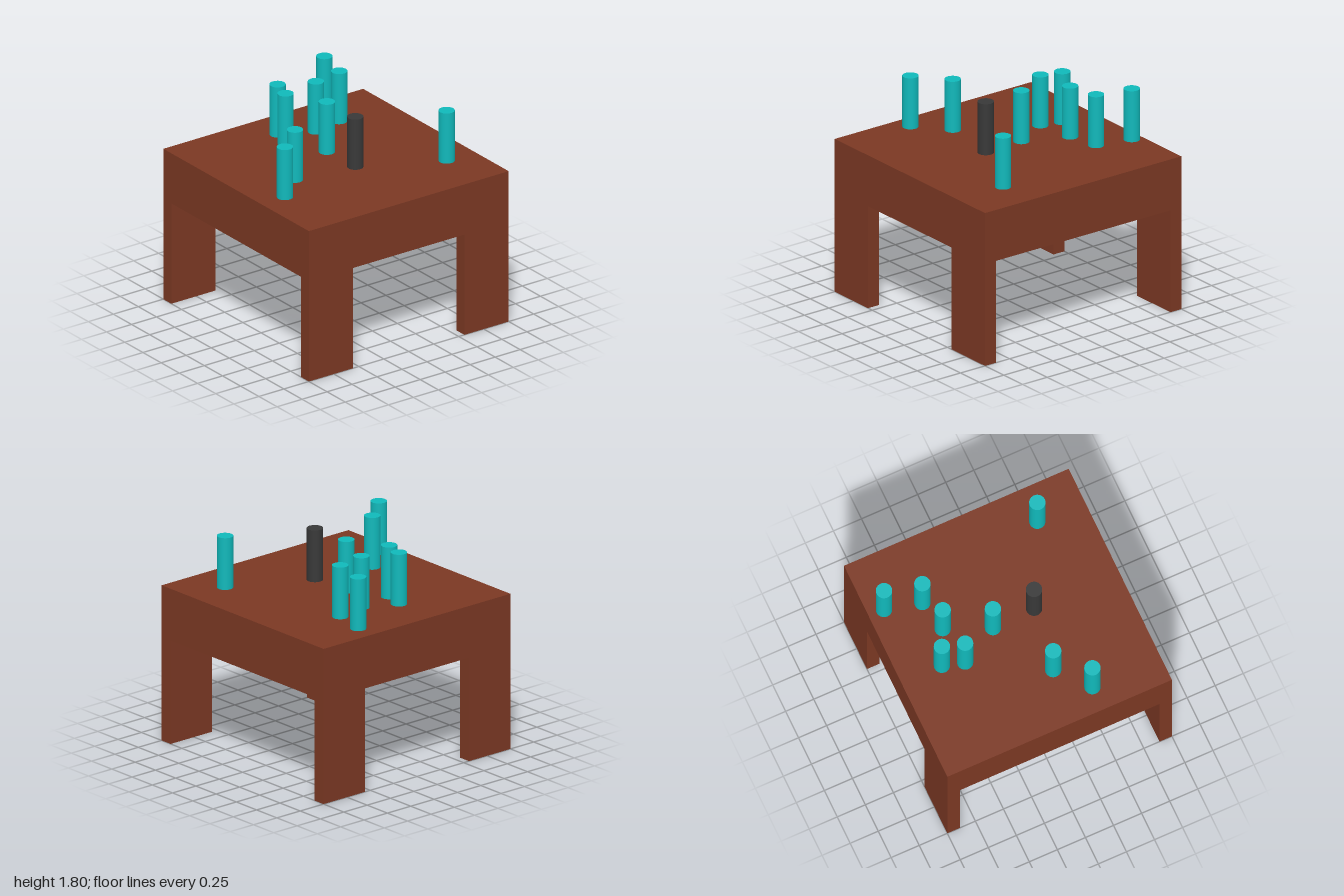
import * as THREE from 'three';

const WIDTH = 2, TOP = 1.335, UNDERSIDE = 0.89;
const LEG_X = 0.111, LEG_Z = 0.444;
const PEG_RADIUS = 0.0665, PEG_HEIGHT = 0.445, PEG_BASE = 1.36;

const TEAL_PEGS = [
  [-0.867, -0.515], [-0.56, -0.44], [-0.505, -0.167],
  [-0.132, -0.005], [-0.642, 0.117], [-0.46, 0.17],
  [0.16, 0.527], [0.387, 0.793], [0.577, -0.687],
];

export function createModel() {
  const model = new THREE.Group();
  model.name = 'tableWithPegs';

  const wood = new THREE.MeshStandardMaterial({ color: 0x7b3823 });
  const teal = new THREE.MeshStandardMaterial({ color: 0x10b8ba });
  const dark = new THREE.MeshStandardMaterial({ color: 0x383838 });

  const add = (name, geometry, material, x, y, z) => {
    const mesh = new THREE.Mesh(geometry, material);
    mesh.name = name;
    mesh.position.set(x, y, z);
    model.add(mesh);
  };

  // Thick square table top
  const topHeight = TOP - UNDERSIDE;
  add('tableTop', new THREE.BoxGeometry(WIDTH, topHeight, WIDTH), wood, 0, UNDERSIDE + topHeight / 2, 0);

  // Four plank legs, flush with the corners
  const legGeometry = new THREE.BoxGeometry(LEG_X, UNDERSIDE, LEG_Z);
  for (const [sx, side] of [[1, 'Left'], [-1, 'Right']]) {
    for (const [sz, end] of [[1, 'front'], [-1, 'back']]) {
      add(`${end}${side}Leg`, legGeometry, wood,
        sx * (WIDTH - LEG_X) / 2, UNDERSIDE / 2, sz * (WIDTH - LEG_Z) / 2);
    }
  }

  // Upright pegs hovering just above the top
  const pegGeometry = new THREE.CylinderGeometry(PEG_RADIUS, PEG_RADIUS, PEG_HEIGHT, 32);
  const pegY = PEG_BASE + PEG_HEIGHT / 2;
  TEAL_PEGS.forEach(([x, z], i) => add(`tealPeg${i + 1}`, pegGeometry, teal, x, pegY, z));
  add('darkPeg', pegGeometry, dark, 0.24, pegY, -0.018);

  return model;
}
